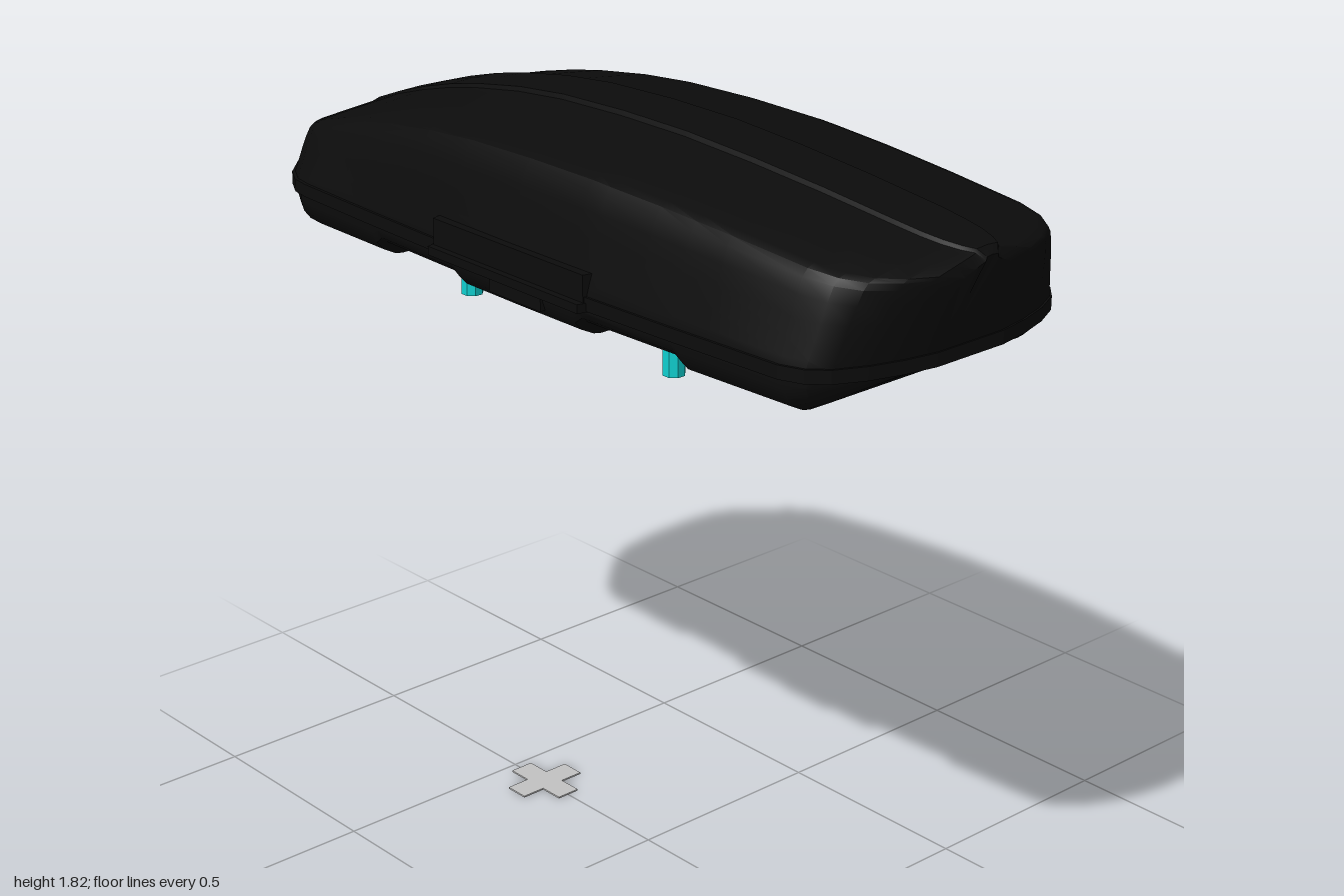
import * as THREE from 'three';
import { toCreasedNormals } from 'three/addons/utils/BufferGeometryUtils.js';

const black = new THREE.MeshStandardMaterial({ name: 'black shell', color: 0x0c0c0c });
const cyan = new THREE.MeshStandardMaterial({ name: 'cyan mount', color: 0x10d2d2 });
const grey = new THREE.MeshStandardMaterial({ name: 'grey marker', color: 0xc4c4c4 });

const SEAM = 1.52;

// Plan outline: x, half width
const PLAN = [[-1, 0.1], [-0.99, 0.16], [-0.965, 0.215], [-0.9, 0.285], [-0.84, 0.345], [-0.79, 0.373],
  [-0.74, 0.381], [-0.5, 0.39], [-0.25, 0.397], [0, 0.4], [0.25, 0.398], [0.5, 0.387], [0.8, 0.37],
  [0.87, 0.35], [0.92, 0.312], [0.96, 0.245], [0.985, 0.17], [1, 0.09]];
// Lid crown: x, y
const CROWN = [[-1, 1.575], [-0.99, 1.598], [-0.9, 1.646], [-0.8, 1.685], [-0.7, 1.718], [-0.6, 1.746], [-0.5, 1.768],
  [-0.35, 1.793], [-0.2, 1.808], [0, 1.815], [0.2, 1.814], [0.4, 1.803], [0.6, 1.787], [0.8, 1.767], [0.985, 1.746], [1, 1.73]];
// Tray underside with two recessed bands: x, y
const FLOOR = [[-1, 1.475], [-0.985, 1.465], [-0.94, 1.44], [-0.79, 1.415], [-0.49, 1.42], [-0.47, 1.446], [-0.21, 1.446],
  [-0.185, 1.422], [0.2, 1.422], [0.222, 1.45], [0.49, 1.45], [0.515, 1.423], [0.81, 1.423], [0.88, 1.447], [0.95, 1.48], [1, 1.51]];
// Half profiles: width factor, height factor measured from the seam
const LID = [[1, 0], [1.003, 0.04], [0.985, 0.14], [0.955, 0.29], [0.925, 0.45], [0.89, 0.62], [0.855, 0.75], [0.82, 0.81],
  [0.77, 0.838], [0.5, 0.895], [0.25, 0.94], [0.19, 0.955], [0.175, 0.99], [0, 1]];
const TRAY = [[0.97, 0], [0.975, 0.35], [0.955, 0.6], [0.91, 0.8], [0.83, 0.96], [0.78, 1], [0, 1]];

function sample(table, x) {
  let i = 1;
  while (i < table.length - 1 && table[i][0] < x) i++;
  const [x0, a] = table[i - 1], [x1, b] = table[i];
  return THREE.MathUtils.lerp(a, b, THREE.MathUtils.clamp((x - x0) / (x1 - x0), 0, 1));
}

// The tail leans outward towards the top
const lean = (x, y) => x - 0.05 * THREE.MathUtils.smoothstep(x, 0.75, 1) * THREE.MathUtils.clamp((1.72 - y) / 0.19, 0, 1.6);

// Loft a mirrored half profile along x, with flat end caps
function shell(half, heights, firstSide, crease) {
  const xs = [...new Set([...PLAN, ...heights].map((p) => p[0]))].sort((a, b) => a - b);
  const mirrored = half.slice(0, -1).reverse().map(([u, v]) => [-u, v]);
  const profile = [...half, ...mirrored];
  const n = profile.length, pos = [], index = [];
  for (const x of xs) {
    const w = sample(PLAN, x), h = sample(heights, x);
    for (const [u, v] of profile) {
      const y = SEAM + (h - SEAM) * v;
      pos.push(lean(x, y), y, firstSide * u * w);
    }
  }
  const last = (xs.length - 1) * n;
  for (let i = 0; i < last; i += n) {
    for (let j = i; j < i + n - 1; j++) index.push(j, j + n, j + 1, j + n, j + n + 1, j + 1);
  }
  for (let j = 1; j < n - 1; j++) index.push(0, j, j + 1, last, last + j + 1, last + j);
  const g = new THREE.BufferGeometry();
  g.setAttribute('position', new THREE.Float32BufferAttribute(pos, 3));
  g.setIndex(index);
  return toCreasedNormals(g, crease);
}

// Horizontal slab from an outline given as (x, z)
function slab(points, y, height) {
  const shape = new THREE.Shape(points.map(([x, z]) => new THREE.Vector2(x, -z)));
  const g = new THREE.ExtrudeGeometry(shape, { depth: height, bevelEnabled: false });
  return g.rotateX(-Math.PI / 2).translate(0, y, 0);
}

export function createModel() {
  const model = new THREE.Group();
  const add = (name, geometry, material, x = 0, y = 0, z = 0) => {
    const mesh = new THREE.Mesh(geometry, material);
    mesh.name = name;
    mesh.position.set(x, y, z);
    model.add(mesh);
    return mesh;
  };

  // Cargo box
  add('lid', shell(LID, CROWN, 1, 0.5), black);
  add('tray', shell(TRAY, FLOOR, -1, 0.5), black);

  // Rim between lid and tray
  const edge = PLAN.map(([x, w]) => [lean(x, SEAM) + 0.008 * THREE.MathUtils.smoothstep(x, 0.8, 1), w + 0.005]);
  const outline = [...edge, ...edge.slice().reverse().map(([x, z]) => [x, -z])];
  add('rim', slab(outline, 1.508, 0.03), black);

  for (const s of [1, -1]) {
    // Side grip ledge and the raised panel above it
    add('gripLedge', slab([[-0.255, 0.36 * s], [-0.24, 0.422 * s], [0.255, 0.422 * s], [0.272, 0.36 * s]], 1.506, 0.02), black);
    add('gripPanel', slab([[-0.25, 0.36 * s], [-0.24, 0.406 * s], [0.255, 0.406 * s], [0.265, 0.36 * s]], 1.526, 0.06), black);
    // Latch on the tray
    add('latch', new THREE.BoxGeometry(0.17, 0.03, 0.02), black, 0.02, 1.478, 0.385 * s);

    // Mounting pins
    for (const x of [-0.32, 0.35]) {
      const pin = new THREE.CylinderGeometry(0.025, 0.025, 0.1, 8).rotateY(Math.PI / 8);
      add('mountPin', toCreasedNormals(pin, 0.3), cyan, x, 1.405, 0.24 * s);
    }
  }

  // Flat cross marker on the ground
  const a = 0.09, b = 0.03;
  const cross = [[-b, -a], [b, -a], [b, -b], [a, -b], [a, b], [b, b], [b, a], [-b, a], [-b, b], [-a, b], [-a, -b], [-b, -b]];
  add('groundCross', slab(cross, 0, 0.004), grey, -0.385);

  return model;
}
